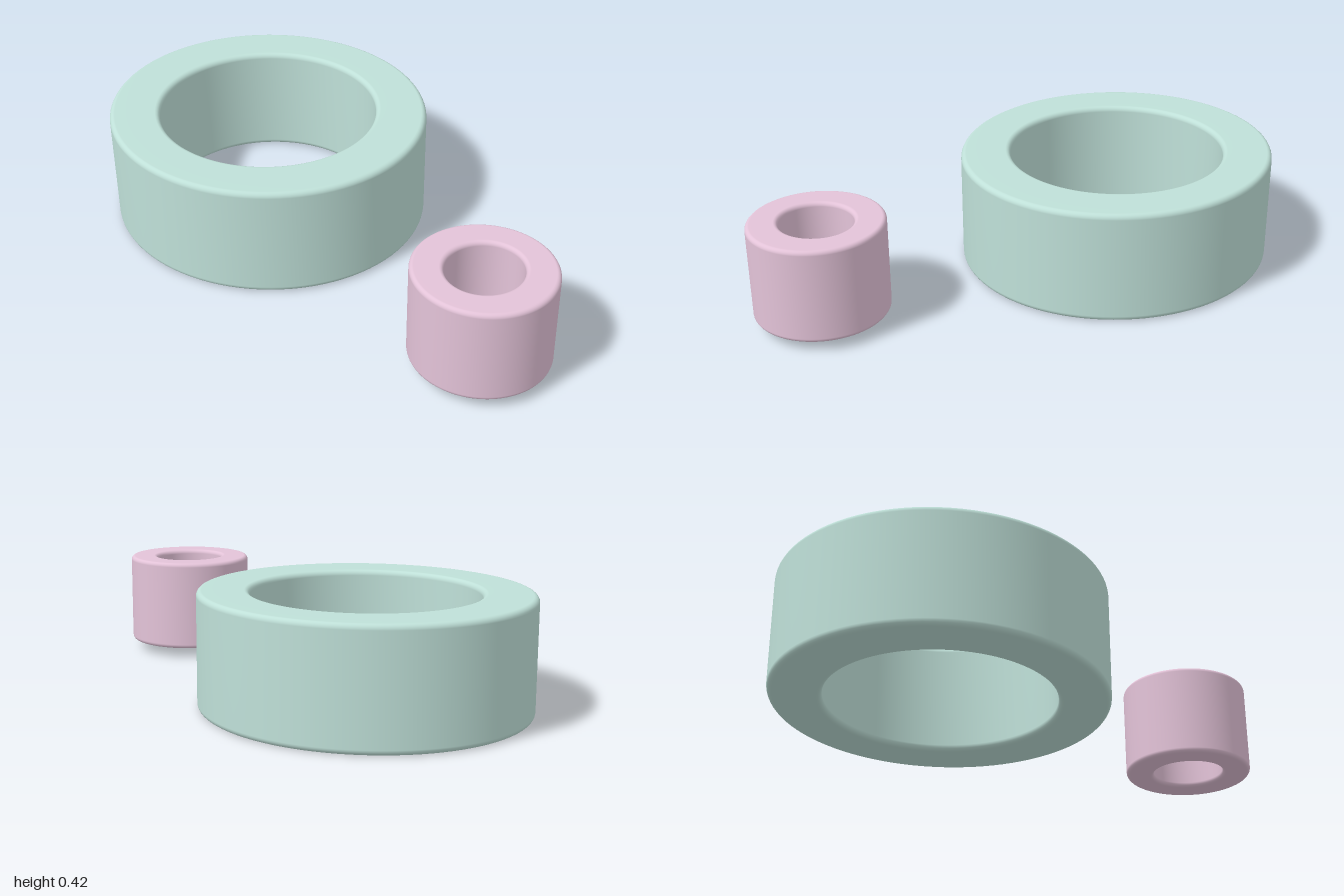
import * as THREE from 'three';
import { mergeVertices } from 'three/addons/utils/BufferGeometryUtils.js';

// Oval ring with rounded edges; outer and inner are [x radius, z radius].
function ovalRing(name, color, outer, inner, y0, y1, bevel) {
  const profile = [];
  const corner = (r, y, startAngle) => {
    for (let i = 0; i <= 5; i++) {
      const a = startAngle + (i / 5) * Math.PI / 2;
      profile.push(new THREE.Vector2(r + bevel * Math.cos(a), y + bevel * Math.sin(a)));
    }
  };
  corner(outer[0] - bevel, y0 + bevel, -Math.PI / 2);
  corner(outer[0] - bevel, y1 - bevel, 0);
  corner(inner[0] + bevel, y1 - bevel, Math.PI / 2);
  corner(inner[0] + bevel, y0 + bevel, Math.PI);
  profile.push(profile[0].clone());

  let geometry = new THREE.LatheGeometry(profile, 96);

  // Adjust the depth, blending between the two ovals across the wall
  const p = geometry.attributes.position;
  for (let i = 0; i < p.count; i++) {
    const r = Math.hypot(p.getX(i), p.getZ(i));
    const t = (r - inner[0]) / (outer[0] - inner[0]);
    p.setZ(i, p.getZ(i) * THREE.MathUtils.lerp(inner[1], outer[1], t) / r);
  }

  // Weld the seams so that the normals run smoothly all round
  geometry.deleteAttribute('uv');
  geometry.deleteAttribute('normal');
  geometry = mergeVertices(geometry, 1e-5);
  geometry.computeVertexNormals();

  const mesh = new THREE.Mesh(geometry, new THREE.MeshStandardMaterial({ color }));
  mesh.name = name;
  return mesh;
}

export function createModel() {
  const model = new THREE.Group();
  model.name = 'rings';

  const large = ovalRing('largeRing', 0xbfe0d8, [0.602, 0.576], [0.407, 0.4], 0, 0.422, 0.02);
  large.position.set(-0.398, 0, -0.001);

  const small = ovalRing('smallRing', 0xe3c3d8, [0.246, 0.239], [0.13, 0.135], 0.037, 0.389, 0.016);
  small.position.set(0.754, 0, 0.33);

  model.add(large, small);
  return model;
}
